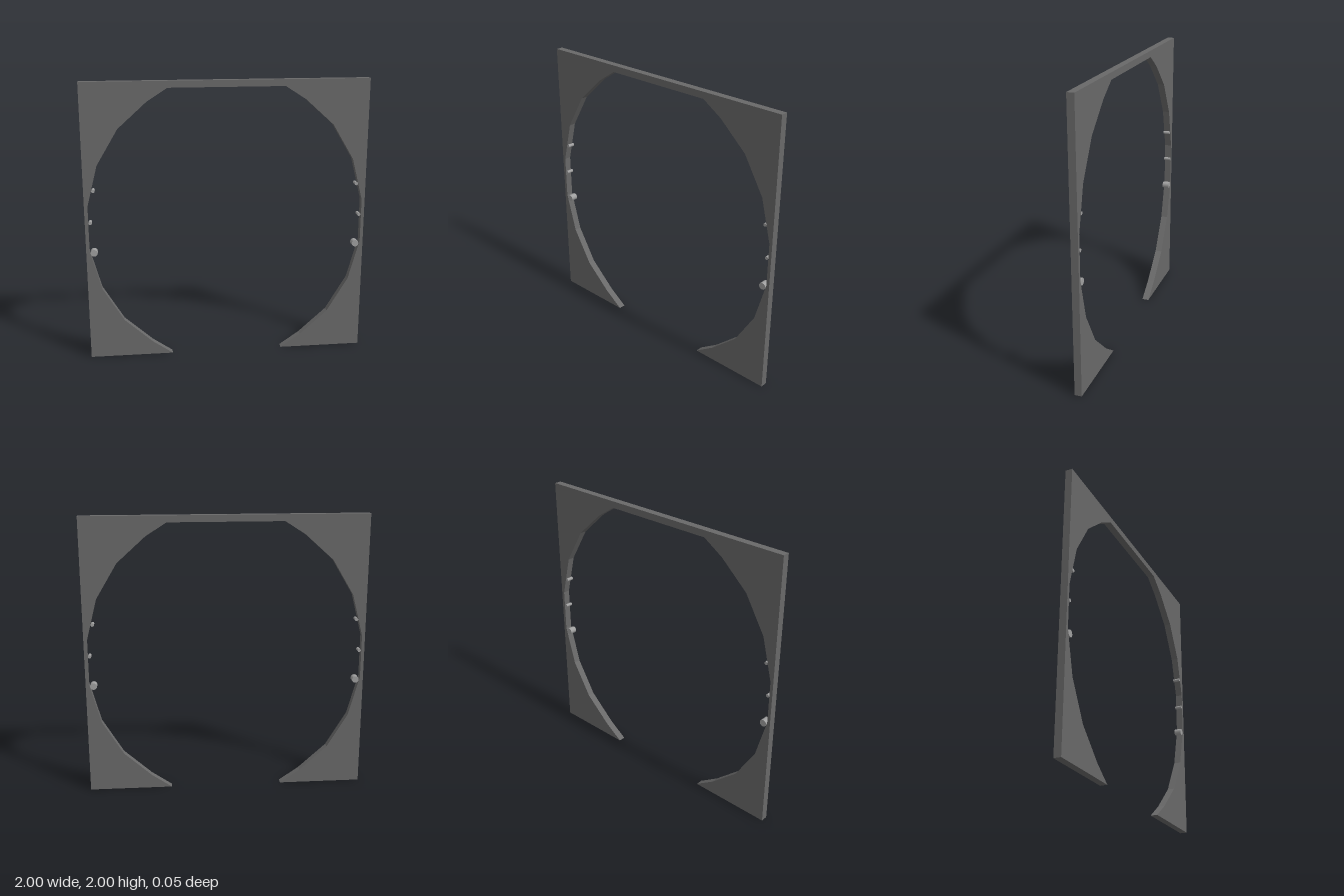
import * as THREE from 'three';

const DEPTH = 0.05;

export function createModel() {
  const model = new THREE.Group();
  const frameGrey = new THREE.MeshStandardMaterial({ color: 0x696969 });
  frameGrey.name = 'dark grey';
  const pinGrey = new THREE.MeshStandardMaterial({ color: 0xa0a0a0 });
  pinGrey.name = 'light grey';

  // Arch frame: square slab with a faceted opening, open at the bottom
  const opening = [
    [0.405, 0], [0.55, 0.1], [0.75, 0.28], [0.9, 0.53], [0.978, 0.82],
    [0.978, 1.13], [0.9, 1.43], [0.75, 1.68], [0.55, 1.86], [0.405, 1.953],
  ];
  const mirrored = opening.map(([x, y]) => [-x, y]).reverse();
  const outline = [[1, 0], [1, 2], [-1, 2], [-1, 0], ...mirrored.reverse(), ...opening.slice().reverse()];
  const shape = new THREE.Shape(outline.map(([x, y]) => new THREE.Vector2(x, y)));
  const frameGeometry = new THREE.ExtrudeGeometry(shape, { depth: DEPTH, bevelEnabled: false });
  frameGeometry.translate(0, 0, -DEPTH / 2);
  const frame = new THREE.Mesh(frameGeometry, frameGrey);
  frame.name = 'archFrame';
  model.add(frame);

  // Pins running front to back along both sides of the opening
  const pins = [
    ['lowerPin', 0.945, 0.8, 0.025],
    ['middlePin', 0.963, 1.02, 0.012],
    ['upperPin', 0.933, 1.25, 0.012],
  ];
  for (const [name, x, y, radius] of pins) {
    const geometry = new THREE.CylinderGeometry(radius, radius, DEPTH, 12);
    geometry.rotateX(Math.PI / 2);
    for (const side of [1, -1]) {
      const pin = new THREE.Mesh(geometry, pinGrey);
      pin.name = (side > 0 ? 'left ' : 'right ') + name;
      pin.position.set(side * x, y, 0);
      model.add(pin);
    }
  }
  return model;
}
